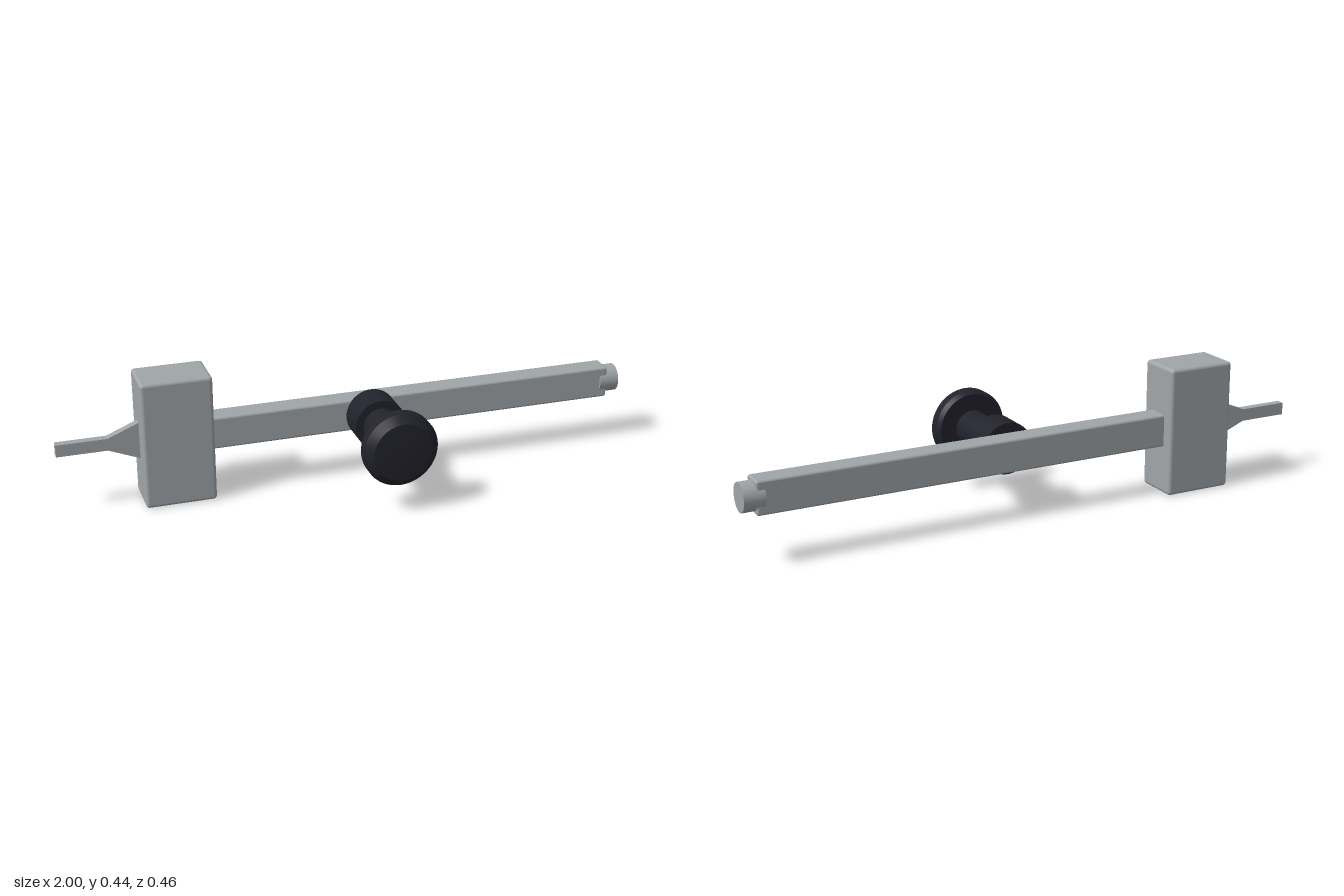
import * as THREE from 'three';
import { RoundedBoxGeometry } from 'three/addons/geometries/RoundedBoxGeometry.js';
import { toCreasedNormals } from 'three/addons/utils/BufferGeometryUtils.js';

const AXIS_Y = 0.222, AXIS_Z = -0.15, KNOB_X = 0.07;

export function createModel() {
  const steel = new THREE.MeshStandardMaterial({ name: 'steel grey', color: 0xa0a5a8 });
  const plastic = new THREE.MeshStandardMaterial({ name: 'dark plastic', color: 0x22222c });
  const model = new THREE.Group();
  model.name = 'slidingBarWithKnob';

  const add = (name, geometry, material, x, y, z) => {
    const mesh = new THREE.Mesh(geometry, material);
    mesh.name = name;
    mesh.position.set(x, y, z);
    model.add(mesh);
    return mesh;
  };

  // Block and the long bar, both with softened edges
  add('block', new RoundedBoxGeometry(0.24, 0.444, 0.162, 3, 0.012), steel, -0.605, AXIS_Y, AXIS_Z);
  add('bar', new RoundedBoxGeometry(1.46, 0.112, 0.08, 3, 0.008), steel, 0.228, AXIS_Y, AXIS_Z);

  // Round pin at the far end of the bar
  const pin = add('endPin', new THREE.CylinderGeometry(0.048, 0.048, 0.07, 48), steel, 0.965, AXIS_Y, AXIS_Z);
  pin.rotation.z = Math.PI / 2;

  // Flat tail that flares out towards the block
  const outline = [[-1, 0.021], [-0.83, 0.021], [-0.725, 0.064], [-0.7, 0.064]];
  const tailShape = new THREE.Shape([
    ...outline.map(([x, h]) => new THREE.Vector2(x, -h)),
    ...outline.slice().reverse().map(([x, h]) => new THREE.Vector2(x, h)),
  ]);
  const tail = new THREE.ExtrudeGeometry(tailShape, { depth: 0.028, bevelEnabled: false });
  add('tail', tail, steel, 0, AXIS_Y, AXIS_Z - 0.014);

  // Knob turned around z: collar, neck and chamfered head as [radius, z]
  const profile = [
    [0, -0.112], [0.088, -0.112], [0.088, -0.006], [0.061, -0.006], [0.061, 0.147],
    [0.118, 0.147], [0.127, 0.166], [0.127, 0.2], [0.1, 0.225], [0.05, 0.229], [0, 0.23],
  ].map(([r, z]) => new THREE.Vector2(r, z));
  const knobGeometry = toCreasedNormals(new THREE.LatheGeometry(profile, 64), 0.35);
  const knob = add('knob', knobGeometry, plastic, KNOB_X, AXIS_Y, 0);
  knob.rotation.x = Math.PI / 2;

  return model;
}
